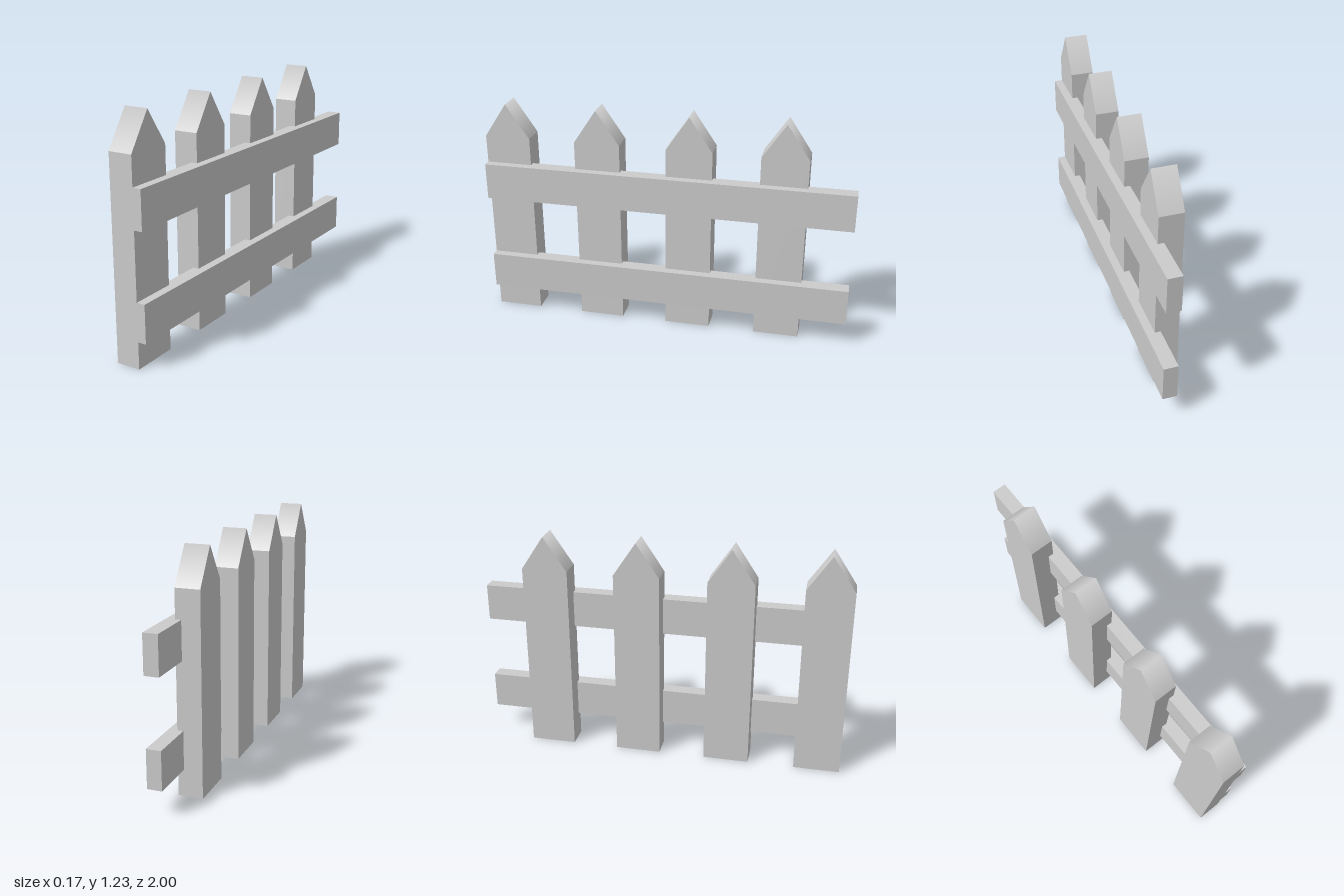
import * as THREE from 'three';

const material = new THREE.MeshStandardMaterial({ color: 0xcccccc });

const PICKET = { width: 0.248, shoulder: 1.04, height: 1.225, back: -0.087, front: 0.041 };
const RAIL = { height: 0.2, back: 0.01, front: 0.086, length: 2 };

// Flat board with a pointed top, its thickness running along x
function picketGeometry() {
  const { width, shoulder, height, back, front } = PICKET;
  const w = width / 2;
  const shape = new THREE.Shape([
    [-w, 0], [w, 0], [w, shoulder], [0, height], [-w, shoulder],
  ].map(([x, y]) => new THREE.Vector2(x, y)));
  const geometry = new THREE.ExtrudeGeometry(shape, { depth: front - back, bevelEnabled: false });
  geometry.rotateY(Math.PI / 2).translate(back, 0, 0);

  // Smooth shading across the ridge, where the two slopes meet
  const { position, normal } = geometry.attributes;
  for (let i = 0; i < position.count; i++) {
    const onRidge = position.getY(i) > height - 0.001;
    if (onRidge && Math.abs(normal.getX(i)) < 0.5) normal.setXYZ(i, 0, 1, 0);
  }
  return geometry;
}

export function createModel() {
  const fence = new THREE.Group();
  fence.name = 'picketFence';

  // Four evenly spaced pickets, the first flush with the front end
  const picket = picketGeometry();
  for (let i = 0; i < 4; i++) {
    const mesh = new THREE.Mesh(picket, material);
    mesh.name = `picket${i + 1}`;
    mesh.position.z = 1 - PICKET.width / 2 - i * 0.5;
    fence.add(mesh);
  }

  // Two rails let into the pickets
  const rail = new THREE.BoxGeometry(RAIL.front - RAIL.back, RAIL.height, RAIL.length);
  for (const [name, y] of [['lowerRail', 0.24], ['upperRail', 0.79]]) {
    const mesh = new THREE.Mesh(rail, material);
    mesh.name = name;
    mesh.position.set((RAIL.front + RAIL.back) / 2, y, 0);
    fence.add(mesh);
  }
  return fence;
}
